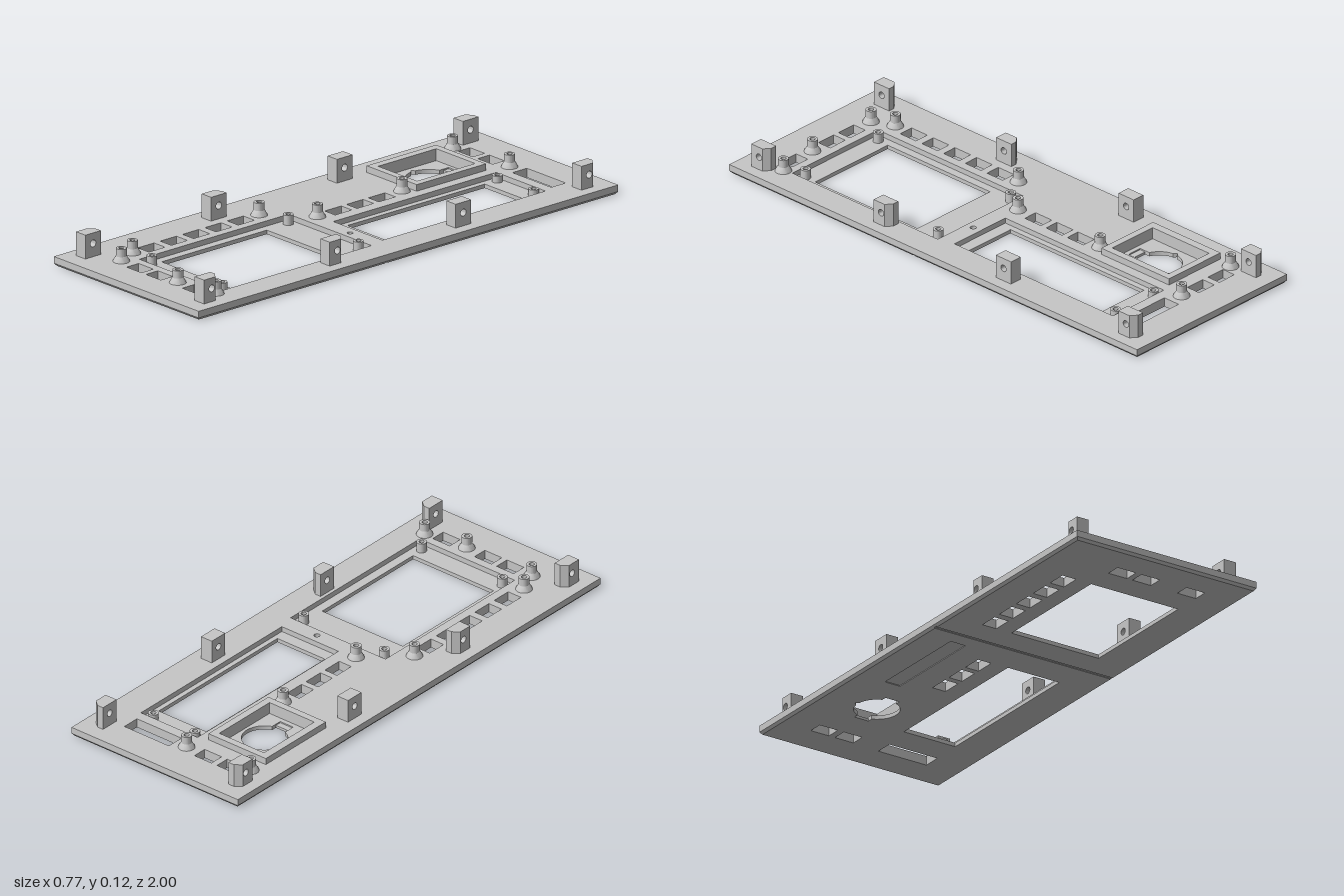
import * as THREE from 'three';
import { toCreasedNormals } from 'three/addons/utils/BufferGeometryUtils.js';

const W = 0.387, L = 1;

export function createModel() {
  const group = new THREE.Group();
  const grey = new THREE.MeshStandardMaterial({ color: 0xc6c6c6 });
  grey.name = 'panelGrey';

  const add = (name, geo, x = 0, y = 0, z = 0) => {
    const mesh = new THREE.Mesh(toCreasedNormals(geo, 0.5), grey);
    mesh.name = name;
    mesh.position.set(x, y, z);
    group.add(mesh);
  };
  // Plan outlines use x and z; the shape plane holds -z
  const outline = pts => pts.map(([x, z]) => new THREE.Vector2(x, -z));
  const rect = (x0, z0, x1, z1) => outline([[x0, z1], [x1, z1], [x1, z0], [x0, z0]]);
  const circle = (x, z, r) => outline(Array.from({ length: 24 }, (_, i) =>
    [x + r * Math.cos(i * Math.PI / 12), z + r * Math.sin(i * Math.PI / 12)]));
  const slab = (outer, holes, y0, y1) => {
    const shape = new THREE.Shape(outer);
    holes.forEach(h => shape.holes.push(new THREE.Path(h)));
    const geo = new THREE.ExtrudeGeometry(shape, { depth: y1 - y0, bevelEnabled: false });
    return geo.rotateX(-Math.PI / 2).translate(0, y0, 0);
  };
  // Chamfer the outer rim of the lowest part
  const chamfer = geo => {
    const p = geo.attributes.position;
    for (let i = 0; i < p.count; i++) {
      const inset = 0.8 * Math.max(0, 0.01 - p.getY(i));
      if (Math.abs(p.getX(i)) > W - 0.001) p.setX(i, Math.sign(p.getX(i)) * (W - inset));
      if (Math.abs(p.getZ(i)) > L - 0.001) p.setZ(i, Math.sign(p.getZ(i)) * (L - inset));
    }
    return geo;
  };

  // Round opening with two key slots and a small side notch
  const keyedHole = h => {
    const cx = -0.163, cz = -0.587, r = 0.083, w = 0.03, pts = [];
    const a0 = Math.acos(w / r);
    for (const s of [1, -1]) {
      pts.push([cx + s * w, cz + s * h]);
      for (let i = 0; i <= 20; i++) {
        const a = a0 - 2 * a0 * i / 20;
        const rr = s < 0 && i === 10 ? r + 0.012 : r;
        pts.push([cx + s * rr * Math.cos(a), cz + s * rr * Math.sin(a)]);
      }
      pts.push([cx + s * w, cz - s * h]);
    }
    return outline(pts);
  };

  // Button windows and the long slot
  const northWindows = [
    rect(-0.256, -0.867, -0.178, -0.811), rect(-0.152, -0.867, -0.073, -0.811),
    rect(0.04, -0.874, 0.247, -0.805)];
  for (let i = 0; i < 3; i++) {
    const z = -0.325 + i * 0.104;
    northWindows.push(rect(-0.103, z, -0.047, z + 0.079));
  }
  const southWindows = [-0.131, -0.028, 0.166].map(x => rect(x, 0.824, x + 0.079, 0.881));
  for (let i = 0; i < 5; i++) {
    const z = 0.213 + i * 0.1065;
    southWindows.push(rect(-0.256, z, -0.197, z + 0.077));
  }
  const northScreen = rect(0.023, -0.688, 0.244, -0.034);
  const southScreen = rect(-0.131, 0.213, 0.244, 0.714);
  const windows = [...northWindows, ...southWindows];
  const screens = [northScreen, southScreen];

  // Face skin, split by a cross groove and holding a shallow label recess
  const label = rect(-0.27, -0.38, -0.205, 0.033);
  add('faceSkinRear', chamfer(slab(rect(-W, -L, W, 0.093),
    [...northWindows, northScreen, keyedHole(0.098), label], 0, 0.003)));
  add('faceSkinFront', chamfer(slab(rect(-W, 0.105, W, L), [...southWindows, southScreen], 0, 0.003)));
  // Plate layers: chamfered rim, screen ledge, then pocketed body
  const plate = rect(-W, -L, W, L);
  add('chamferedRim', chamfer(slab(plate, [...windows, ...screens, keyedHole(0.098)], 0.003, 0.01)));
  add('ledgeLayer', slab(plate, [...windows, ...screens, keyedHole(0.122)], 0.01, 0.015));
  const frameInner = rect(-0.276, -0.724, -0.068, -0.447);
  add('plateBody', slab(plate, [...windows, frameInner,
    rect(0, -0.764, 0.263, 0.013), rect(-0.163, 0.08, 0.279, 0.792),
    circle(0.129, 0.048, 0.011)], 0.015, 0.035));

  // Raised rectangular frame around the round opening
  add('speakerFrame', slab(rect(-0.307, -0.751, -0.04, -0.42), [frameInner], 0.035, 0.06));

  // Hollow post, optionally with a flared foot
  const post = (name, x, z, r, y0, y1, flare) => {
    const foot = flare ? [[0.031, y0], [0.029, y0 + 0.006], [r, y0 + 0.022]] : [[r, y0]];
    const pts = [...foot, [r, y1], [r * 0.5, y1], [r * 0.5, y0 + 0.005], [0, y0 + 0.005]];
    add(name, new THREE.LatheGeometry(pts.map(p => new THREE.Vector2(...p)), 24), x, 0, z);
  };
  [[-0.291, -0.815], [-0.013, -0.839], [-0.075, -0.381], [-0.075, 0.022], [-0.227, 0.164],
    [-0.227, 0.768], [-0.191, 0.853], [0.111, 0.853], [0.287, 0.829]]
    .forEach(([x, z]) => post('boardPost', x, z, 0.0195, 0.034, 0.085, true));
  for (const x of [0.031, 0.225]) post('rearScreenPost', x, -0.741, 0.019, 0.015, 0.04);
  for (const x of [-0.131, 0.244])
    for (const z of [0.111, 0.761]) post('frontScreenPost', x, z, 0.019, 0.015, 0.052);

  // Mounting tabs with a cross hole and one chamfered outer corner
  const D = 0.05;
  [-0.902, -0.302, 0.298, 0.897].forEach((z, row) => {
    for (const side of [-1, 1]) {
      const shape = new THREE.Shape(
        [[-0.037, 0.034], [0.037, 0.034], [0.037, 0.125], [-0.037, 0.125]].map(p => new THREE.Vector2(...p)));
      const hole = new THREE.Path();
      hole.absarc(0, 0.085, 0.013, 0, Math.PI * 2, true);
      shape.holes.push(hole);
      const geo = new THREE.ExtrudeGeometry(shape, { depth: D, steps: 2, bevelEnabled: false, curveSegments: 20 });
      geo.rotateY(-Math.PI / 2).translate(D / 2, 0, 0);
      const p = geo.attributes.position;
      for (let i = 0; i < p.count; i++)
        if (row !== 1 && p.getX(i) * side > 0.01 && p.getZ(i) < -0.036) p.setZ(i, -0.017);
      add('mountingTab', geo, side * 0.317, 0, z);
    }
  });

  return group;
}
